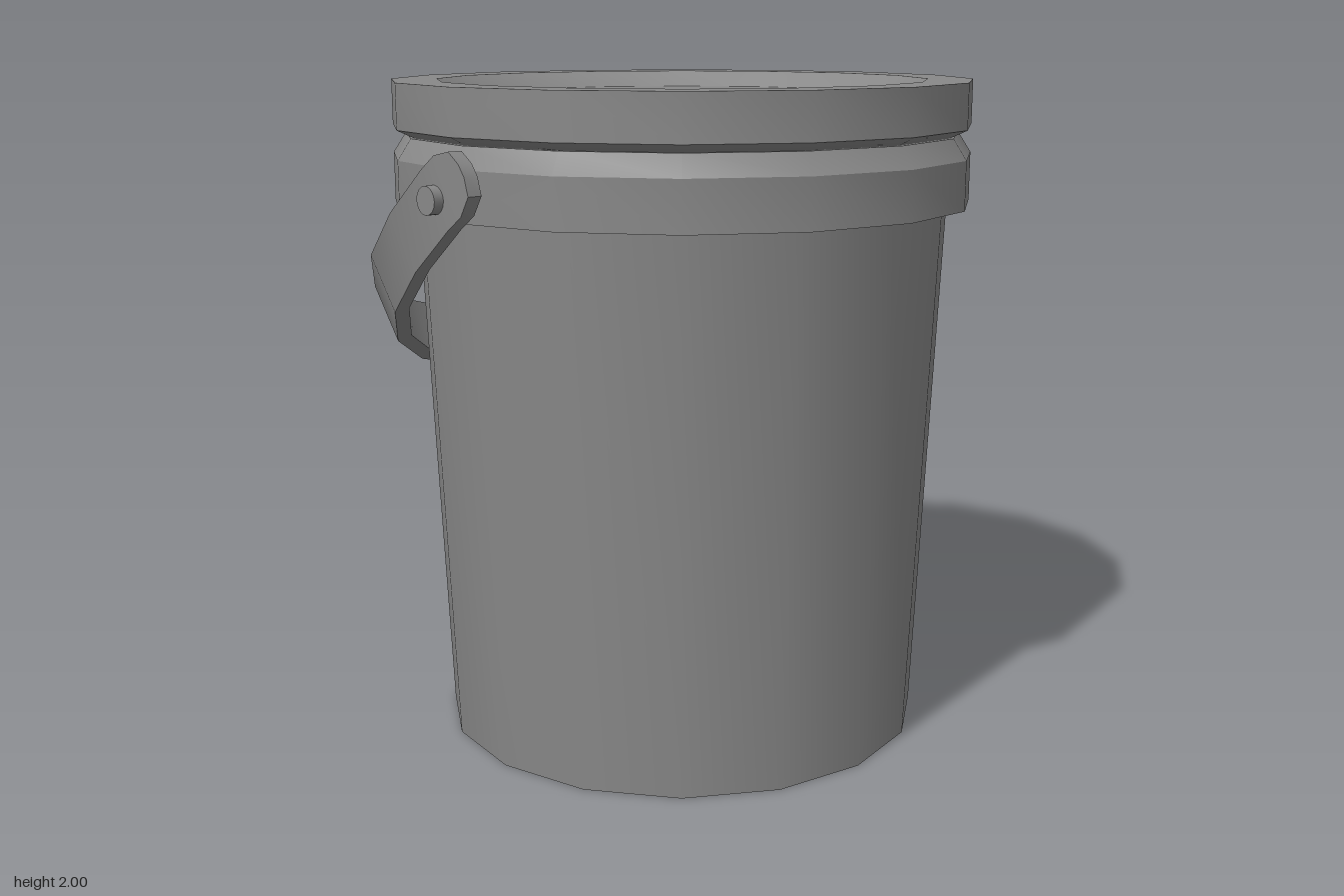
import * as THREE from 'three';
import { toCreasedNormals } from 'three/addons/utils/BufferGeometryUtils.js';

const SIDES = 16, CENTRE_Z = 0.013, PIVOT_Y = 1.703;
const material = new THREE.MeshStandardMaterial({ color: 0x888888 });

function addMesh(parent, name, geometry) {
  const mesh = new THREE.Mesh(toCreasedNormals(geometry, 0.5), material);
  mesh.name = name;
  parent.add(mesh);
  return mesh;
}

function lathe(points) {
  return new THREE.LatheGeometry(points.map(([r, y]) => new THREE.Vector2(r, y)), SIDES);
}

// Flat strip swept along an arch: stations are [x, distance from pivot, half width]
function handleGeometry(thickness) {
  const half = [
    [0.94, -0.147, 0.02], [0.94, -0.13, 0.07], [0.94, -0.07, 0.096], [0.94, 0, 0.096],
    [0.912, 0.235, 0.096], [0.84, 0.488, 0.096], [0.705, 0.71, 0.096],
    [0.51, 0.89, 0.096], [0.27, 1.005, 0.096],
  ];
  const stations = [...half, [0, 1.046, 0.096],
    ...half.map(([x, d, w]) => [-x, d, w]).reverse()];
  const last = stations.length - 1;
  const positions = [], index = [];
  stations.forEach(([x, d, w], i) => {
    const a = stations[Math.max(i - 1, 0)], b = stations[Math.min(i + 1, last)];
    const inward = new THREE.Vector2(-(b[1] - a[1]), b[0] - a[0]).normalize();
    const ix = x + inward.x * thickness, id = d + inward.y * thickness;
    positions.push(x, -w, -d, x, w, -d, ix, w, -id, ix, -w, -id);
    if (i === last) return;
    for (let k = 0; k < 4; k++) {
      const p = i * 4 + k, q = i * 4 + (k + 1) % 4;
      index.push(p, p + 4, q + 4, p, q + 4, q);
    }
  });
  const e = last * 4;
  index.push(0, 1, 2, 0, 2, 3, e + 3, e + 2, e + 1, e + 3, e + 1, e);
  const geometry = new THREE.BufferGeometry();
  geometry.setAttribute('position', new THREE.Float32BufferAttribute(positions, 3));
  geometry.setIndex(index);
  return geometry;
}

export function createModel() {
  const bucket = new THREE.Group();
  bucket.name = 'bucket';

  // Tapered wall with a raised collar below the lid
  const body = addMesh(bucket, 'body', lathe([
    [0, 0], [0.745, 0], [0.815, 1.635], [0.882, 1.635], [0.882, 1.78], [0.842, 1.842], [0.78, 1.842],
  ]));

  // Lid with an undercut skirt and a recessed top panel
  const lid = addMesh(bucket, 'lid', lathe([
    [0.78, 1.84], [0.83, 1.842], [0.882, 1.866], [0.882, 2], [0.745, 2], [0.68, 1.95], [0, 1.95],
  ]));
  body.position.z = lid.position.z = CENTRE_Z;

  // Carrying handle, hanging down at the back
  const handle = addMesh(bucket, 'handle', handleGeometry(0.045));
  handle.position.set(0, PIVOT_Y, CENTRE_Z);
  handle.rotation.x = -0.616;

  // Pivot pins
  for (const side of [1, -1]) {
    const pin = addMesh(bucket, side > 0 ? 'leftPin' : 'rightPin',
      new THREE.CylinderGeometry(0.04, 0.04, 0.11, 16).rotateZ(Math.PI / 2));
    pin.position.set(side * 0.915, PIVOT_Y, CENTRE_Z);
  }
  return bucket;
}
